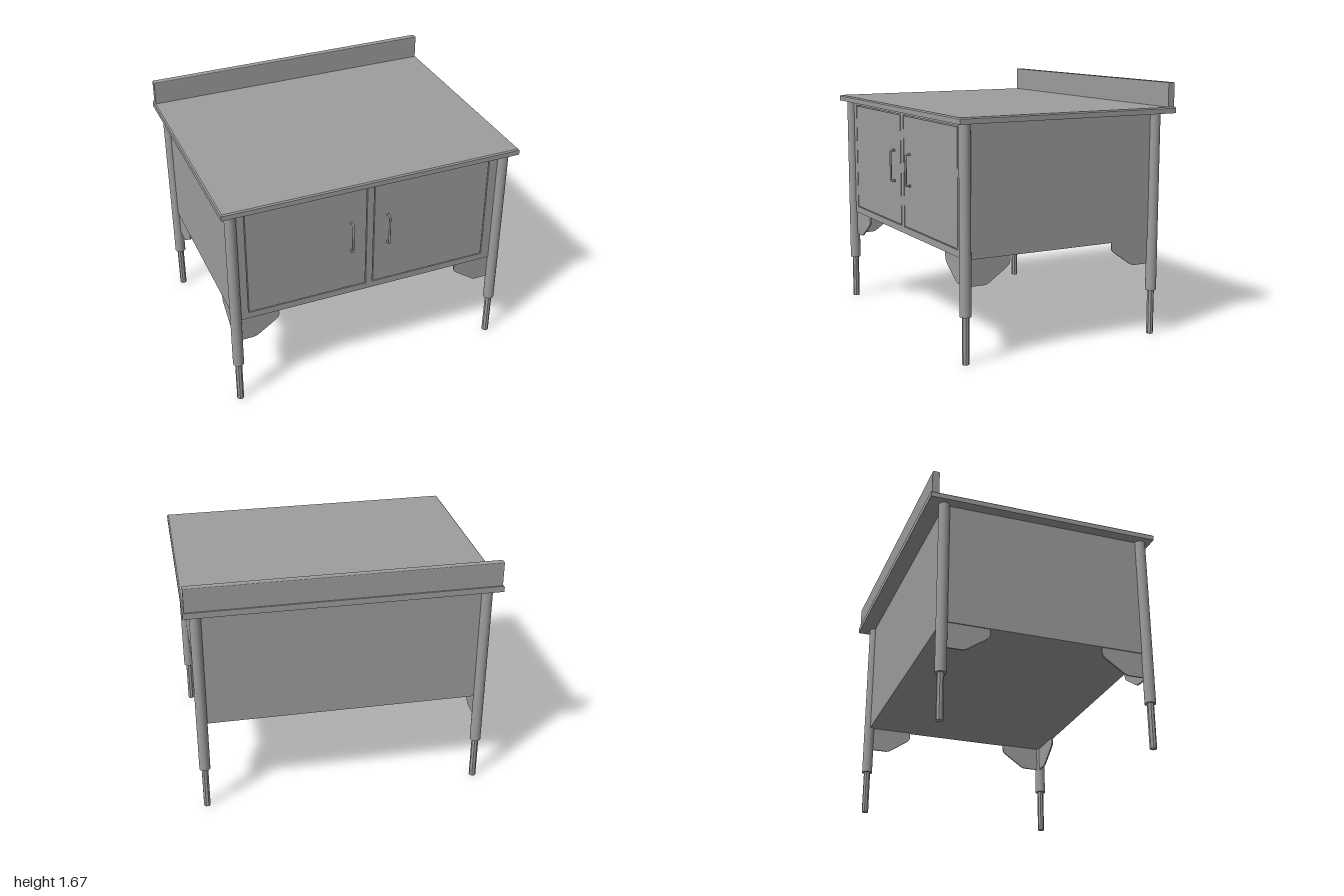
import * as THREE from 'three';

const material = new THREE.MeshStandardMaterial({ color: 0x9d9d9d });
const CX = -0.003;              // centre of the cabinet and legs across x
const LEG_X = 0.925, FRONT_Z = 0.705, BACK_Z = -0.665;
const BODY_BOTTOM = 0.646, TOP_Y = 1.47;

function add(parent, name, geometry, x = 0, y = 0, z = 0) {
  const mesh = new THREE.Mesh(geometry, material);
  mesh.name = name;
  mesh.position.set(x, y, z);
  parent.add(mesh);
  return mesh;
}

function rectPath(target, x0, y0, x1, y1) {
  target.moveTo(x0, y0);
  target.lineTo(x1, y0);
  target.lineTo(x1, y1);
  target.lineTo(x0, y1);
  target.closePath();
  return target;
}

// Tabletop slab with a small chamfer along the front and the two ends
function tabletopGeometry() {
  const h = 0.04, c = 0.008;
  const geo = new THREE.BoxGeometry(2, h, 1.546, 1, 2, 1).toNonIndexed();
  const p = geo.attributes.position;
  for (let i = 0; i < p.count; i++) {
    const y = p.getY(i);
    if (Math.abs(y) < 1e-6) p.setY(i, h / 2 - c);
    else if (y > 0) {
      p.setX(i, p.getX(i) - Math.sign(p.getX(i)) * c);
      if (p.getZ(i) > 0) p.setZ(i, p.getZ(i) - c);
    }
  }
  geo.computeVertexNormals();
  return geo;
}

// Upright board with a rounded top, extruded along x
function splashGeometry() {
  const w = 0.023, h = 0.16, r = 0.008, length = 1.98;
  const s = new THREE.Shape();
  s.moveTo(-w, 0);
  s.lineTo(w, 0);
  s.lineTo(w, h - r);
  s.quadraticCurveTo(w, h, w - r, h);
  s.lineTo(-w + r, h);
  s.quadraticCurveTo(-w, h, -w, h - r);
  s.closePath();
  const geo = new THREE.ExtrudeGeometry(s, { depth: length, bevelEnabled: false, curveSegments: 6 });
  return geo.translate(0, 0, -length / 2).rotateY(Math.PI / 2);
}

// Gusset plate: starts at the leg axis and runs along +x, hanging below y = 0
function gussetGeometry(length) {
  const s = new THREE.Shape();
  s.moveTo(0, 0);
  s.lineTo(0, -0.168);
  s.lineTo(length - 0.185, -0.168);
  s.quadraticCurveTo(length - 0.16, -0.168, length - 0.14, -0.153);
  s.lineTo(length - 0.02, -0.07);
  s.quadraticCurveTo(length, -0.055, length, -0.035);
  s.lineTo(length, 0);
  s.closePath();
  return new THREE.ExtrudeGeometry(s, { depth: 0.01, bevelEnabled: false, curveSegments: 4 })
    .translate(0, 0, -0.005);
}

// Bent bar handle with a round foot at each end
function makeHandle(x, z) {
  const handle = new THREE.Group();
  handle.name = 'doorHandle';
  const half = 0.104, out = 0.03, bend = 0.012;
  const v = (y, d) => new THREE.Vector3(0, y, d);
  const path = new THREE.CurvePath();
  path.add(new THREE.LineCurve3(v(-half, 0), v(-half, out - bend)));
  path.add(new THREE.QuadraticBezierCurve3(v(-half, out - bend), v(-half, out), v(-half + bend, out)));
  path.add(new THREE.LineCurve3(v(-half + bend, out), v(half - bend, out)));
  path.add(new THREE.QuadraticBezierCurve3(v(half - bend, out), v(half, out), v(half, out - bend)));
  path.add(new THREE.LineCurve3(v(half, out - bend), v(half, 0)));
  add(handle, 'handleBar', new THREE.TubeGeometry(path, 64, 0.007, 10));
  for (const side of [-1, 1]) {
    const foot = new THREE.CylinderGeometry(0.01, 0.01, 0.006, 16).rotateX(Math.PI / 2);
    add(handle, 'handleFoot', foot, 0, side * half, 0.003);
  }
  handle.position.set(x, 1.088, z);
  return handle;
}

export function createModel() {
  const group = new THREE.Group();
  group.name = 'workbenchCabinet';

  // Worktop and back upstand
  add(group, 'tabletop', tabletopGeometry(), 0, TOP_Y + 0.02, 0);
  add(group, 'backsplash', splashGeometry(), 0, 1.508, -0.741);

  // Cabinet carcass, behind a face frame with two door openings
  const recess = 0.025;
  const depth = FRONT_Z - recess - BACK_Z;
  add(group, 'cabinetBody', new THREE.BoxGeometry(2 * LEG_X, TOP_Y - BODY_BOTTOM, depth),
    CX, (TOP_Y + BODY_BOTTOM) / 2, BACK_Z + depth / 2);

  const doors = [[-0.843, -0.031], [0.014, 0.827]];
  const doorBottom = 0.691, doorTop = 1.444, gap = 0.006;
  const frame = rectPath(new THREE.Shape(), CX - LEG_X, BODY_BOTTOM, CX + LEG_X, TOP_Y);
  for (const [x0, x1] of doors) {
    frame.holes.push(rectPath(new THREE.Path(), x0, doorBottom, x1, doorTop));
  }
  add(group, 'faceFrame', new THREE.ExtrudeGeometry(frame, { depth: recess, bevelEnabled: false }),
    0, 0, FRONT_Z - recess);

  // Inset doors, leaving a narrow groove all round
  for (const [x0, x1] of doors) {
    add(group, 'door',
      new THREE.BoxGeometry(x1 - x0 - 2 * gap, doorTop - doorBottom - 2 * gap, recess),
      (x0 + x1) / 2, (doorBottom + doorTop) / 2, FRONT_Z - recess / 2);
  }
  group.add(makeHandle(-0.139, FRONT_Z), makeHandle(0.115, FRONT_Z));

  // Legs with narrower, eight-sided adjustable feet
  const footGeometry = new THREE.CylinderGeometry(0.023, 0.023, 0.32, 8)
    .rotateY(Math.PI / 8).toNonIndexed();
  footGeometry.computeVertexNormals();
  const inset = 0.012;          // gussets sit just inside the cabinet faces
  for (const side of [-1, 1]) {
    const x = CX + side * LEG_X;
    for (const z of [FRONT_Z, BACK_Z]) {
      add(group, 'leg', new THREE.CylinderGeometry(0.036, 0.036, TOP_Y - 0.3, 32), x, (TOP_Y + 0.3) / 2, z);
      add(group, 'legFoot', footGeometry, x, 0.16, z);

      // Side gussets at every leg
      const plate = add(group, 'sideGusset', gussetGeometry(0.312), x - side * inset, BODY_BOTTOM, z);
      plate.rotation.y = z > 0 ? Math.PI / 2 : -Math.PI / 2;
    }
    // Front gussets, turned to point inward
    const plate = add(group, 'frontGusset', gussetGeometry(0.293), x, BODY_BOTTOM, FRONT_Z - inset);
    plate.rotation.y = side > 0 ? Math.PI : 0;
  }
  return group;
}
